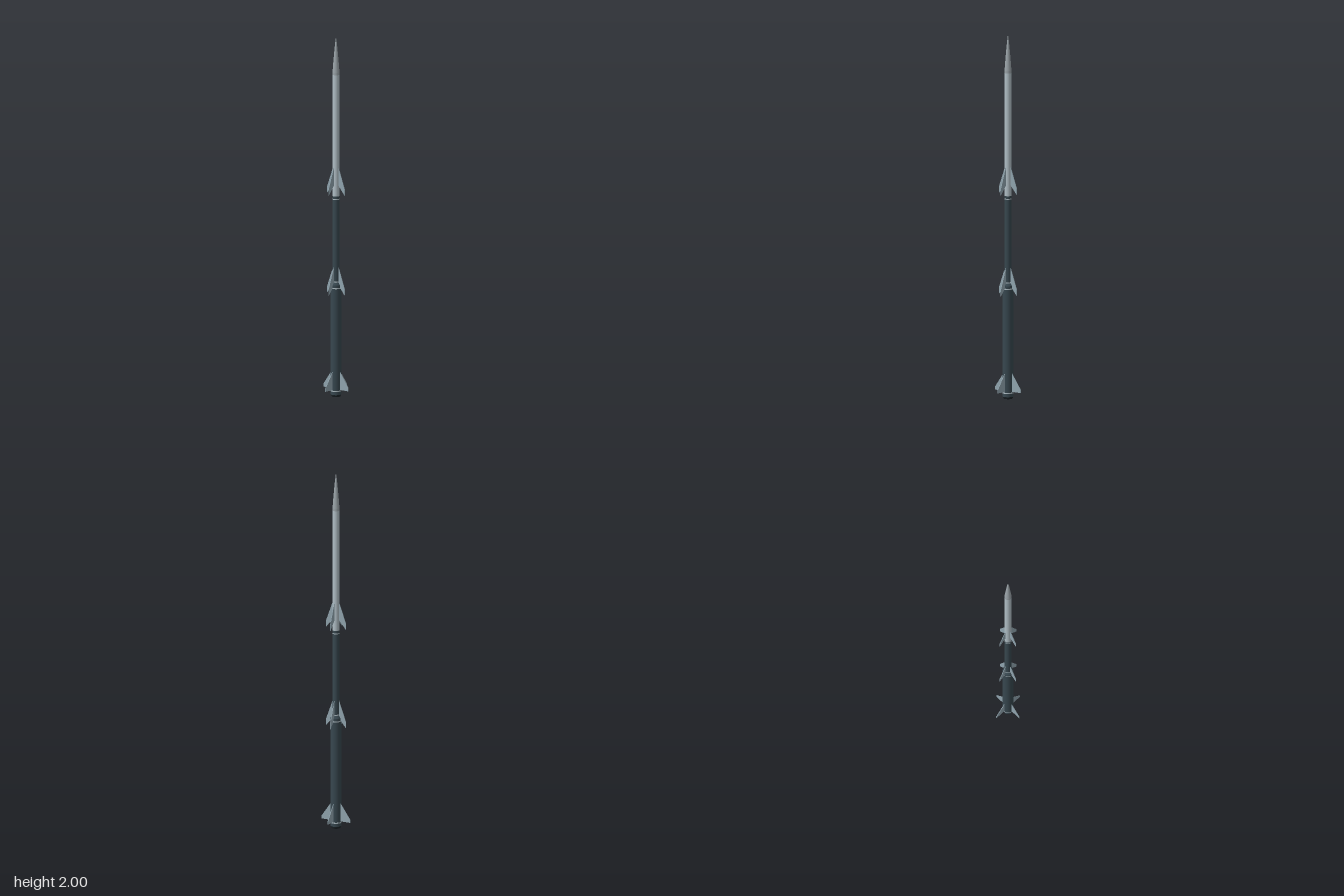
import * as THREE from 'three';

const mat = (color) => new THREE.MeshStandardMaterial({ color, side: THREE.DoubleSide });
const pale = mat(0xb0bec5), grey = mat(0x90a4ae), noseGrey = mat(0x9aa3a8);
const dark = mat(0x37474f), black = mat(0x1c2428);

function add(group, name, geometry, material) {
  const mesh = new THREE.Mesh(geometry, material);
  mesh.name = name;
  group.add(mesh);
  return mesh;
}

// Straight or tapered tube section from y0 (radius r0) up to y1 (radius r1)
function section(group, name, y0, y1, r0, r1, material, open = false) {
  const geometry = new THREE.CylinderGeometry(r1, r0, y1 - y0, 32, 1, open);
  geometry.translate(0, (y0 + y1) / 2, 0);
  return add(group, name, geometry, material);
}

// Four thin fins around the body; outline is given as (radius, height)
function finSet(group, name, outline, thickness = 0.003) {
  const set = new THREE.Group();
  set.name = name;
  const shape = new THREE.Shape(outline.map(([x, y]) => new THREE.Vector2(x, y)));
  const geometry = new THREE.ExtrudeGeometry(shape, { depth: thickness, bevelEnabled: false });
  geometry.translate(0, 0, -thickness / 2);
  for (let i = 0; i < 4; i++) add(set, 'fin', geometry, grey).rotation.y = (i * Math.PI) / 2;
  group.add(set);
}

export function createModel() {
  const rocket = new THREE.Group();
  rocket.name = 'rocket';
  const r = 0.019, R = 0.029;

  // Booster with open nozzle
  section(rocket, 'boosterBody', 0.035, 0.605, R, R, dark);
  section(rocket, 'boosterBaseRing', 0.03, 0.036, R + 0.0005, R + 0.0005, pale);
  section(rocket, 'boosterTail', 0.012, 0.03, R, R, dark);
  const nozzle = [[0.012, 0.03], [0.02, 0.004], [0.023, 0], [0.026, 0.004], [0.028, 0.013]];
  add(rocket, 'nozzle', new THREE.LatheGeometry(nozzle.map(([x, y]) => new THREE.Vector2(x, y)), 32), black);
  section(rocket, 'boosterTopRing', 0.602, 0.608, R + 0.0005, R + 0.0005, pale);
  section(rocket, 'boosterCollar', 0.608, 0.622, R, R, dark);
  section(rocket, 'shoulder', 0.622, 0.636, R, r, dark);

  // Second stage
  section(rocket, 'secondStageBaseRing', 0.636, 0.642, r + 0.001, r + 0.001, pale);
  section(rocket, 'secondStageBody', 0.642, 1.1, r, r, dark);
  section(rocket, 'secondStageTopRing', 1.096, 1.101, r + 0.0005, r + 0.0005, pale);
  section(rocket, 'stageCollar', 1.101, 1.115, r, r, dark);

  // Upper stage and nose
  section(rocket, 'upperBody', 1.115, 1.79, r, r, pale);
  section(rocket, 'noseJoint', 1.79, 1.803, r, r, noseGrey);
  const nose = [[r, 1.803], [0.0155, 1.85], [0.0112, 1.9], [0.0065, 1.95], [0.0025, 1.985], [0, 2]];
  add(rocket, 'noseCone', new THREE.LatheGeometry(nose.map(([x, y]) => new THREE.Vector2(x, y)), 32), noseGrey);

  // Fins
  finSet(rocket, 'boosterFins', [[0.02, 0.04], [0.088, 0.04], [0.088, 0.058], [R, 0.14], [0.02, 0.14]]);
  finSet(rocket, 'secondStageFins', [[0.012, 0.63], [r, 0.62], [0.062, 0.57], [0.062, 0.605], [r, 0.72], [0.012, 0.72]]);
  finSet(rocket, 'upperFins', [[0.012, 1.175], [r, 1.175], [0.062, 1.125], [0.062, 1.16], [r, 1.275], [0.012, 1.275]]);

  return rocket;
}
